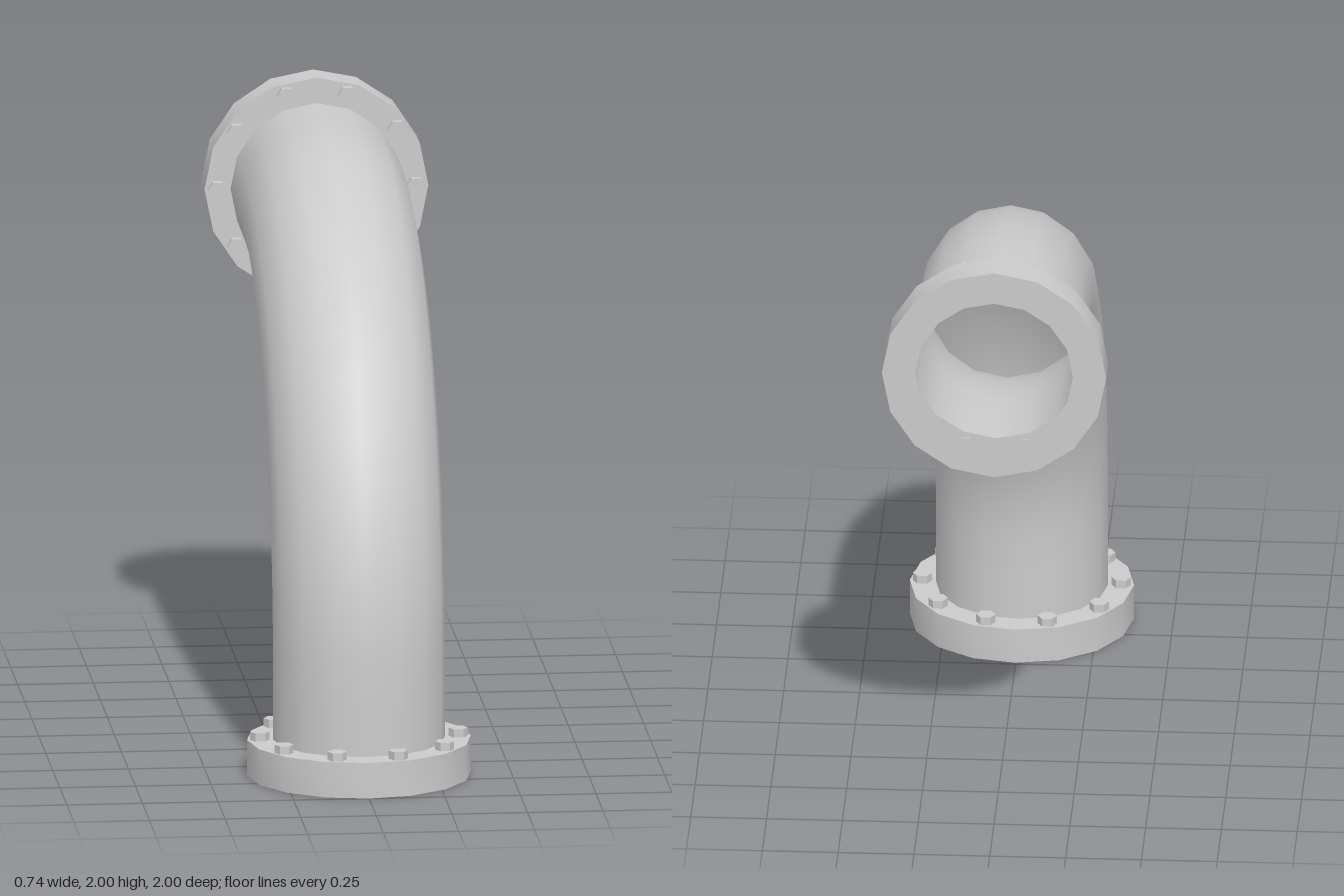
import * as THREE from 'three';
import { toCreasedNormals } from 'three/addons/utils/BufferGeometryUtils.js';

const SIDES = 16;
const PIPE_R = 0.284, FLANGE_R = 0.37, HOLE_R = 0.26, FLANGE_H = 0.12;
const AXIS = 0.63;            // z of the lower opening's axis
const TOP = 1.63;             // y of the upper opening's axis
const BEND_R = 1.25;          // centreline radius of the elbow

const material = new THREE.MeshStandardMaterial({ color: 0xcccccc, side: THREE.DoubleSide });

// Centreline: straight up, quarter bend, straight back
class ElbowCurve extends THREE.Curve {
  getPoint(t, target = new THREE.Vector3()) {
    const straight = TOP - BEND_R - FLANGE_H;
    const arc = BEND_R * Math.PI / 2;
    const s = t * (2 * straight + arc);
    if (s < straight) return target.set(0, FLANGE_H + s, AXIS);
    if (s > straight + arc) return target.set(0, TOP, AXIS - BEND_R - (s - straight - arc));
    const a = (s - straight) / BEND_R;
    return target.set(0, TOP - BEND_R + BEND_R * Math.sin(a), AXIS - BEND_R + BEND_R * Math.cos(a));
  }
}

function mesh(name, geometry) {
  const m = new THREE.Mesh(geometry, material);
  m.name = name;
  return m;
}

// Hollow collar with a ring of hex bolts, open end at local y = 0
function createFlange(name) {
  const flange = new THREE.Group();
  flange.name = name;

  const profile = [
    [HOLE_R, 0], [FLANGE_R, 0], [FLANGE_R, FLANGE_H], [PIPE_R, FLANGE_H],
  ].map(([x, y]) => new THREE.Vector2(x, y));
  flange.add(mesh('collar', toCreasedNormals(new THREE.LatheGeometry(profile, SIDES), Math.PI / 4)));

  const boltGeometry = toCreasedNormals(new THREE.CylinderGeometry(0.032, 0.032, 0.033, 6), Math.PI / 6);
  boltGeometry.rotateY(Math.PI / 2);
  for (let i = 0; i < 10; i++) {
    const a = (i / 10) * Math.PI * 2;
    const bolt = mesh('bolt', boltGeometry);
    bolt.position.set(0.328 * Math.cos(a), 0.131, 0.328 * Math.sin(a));
    flange.add(bolt);
  }
  return flange;
}

export function createModel() {
  const model = new THREE.Group();
  model.name = 'pipeElbow';

  model.add(mesh('pipe', new THREE.TubeGeometry(new ElbowCurve(), 16, PIPE_R, SIDES, false)));

  const lower = createFlange('lowerFlange');
  lower.position.set(0, 0, AXIS);

  const upper = createFlange('upperFlange');
  upper.rotation.x = Math.PI / 2;
  upper.position.set(0, TOP, -1);

  model.add(lower, upper);
  return model;
}
